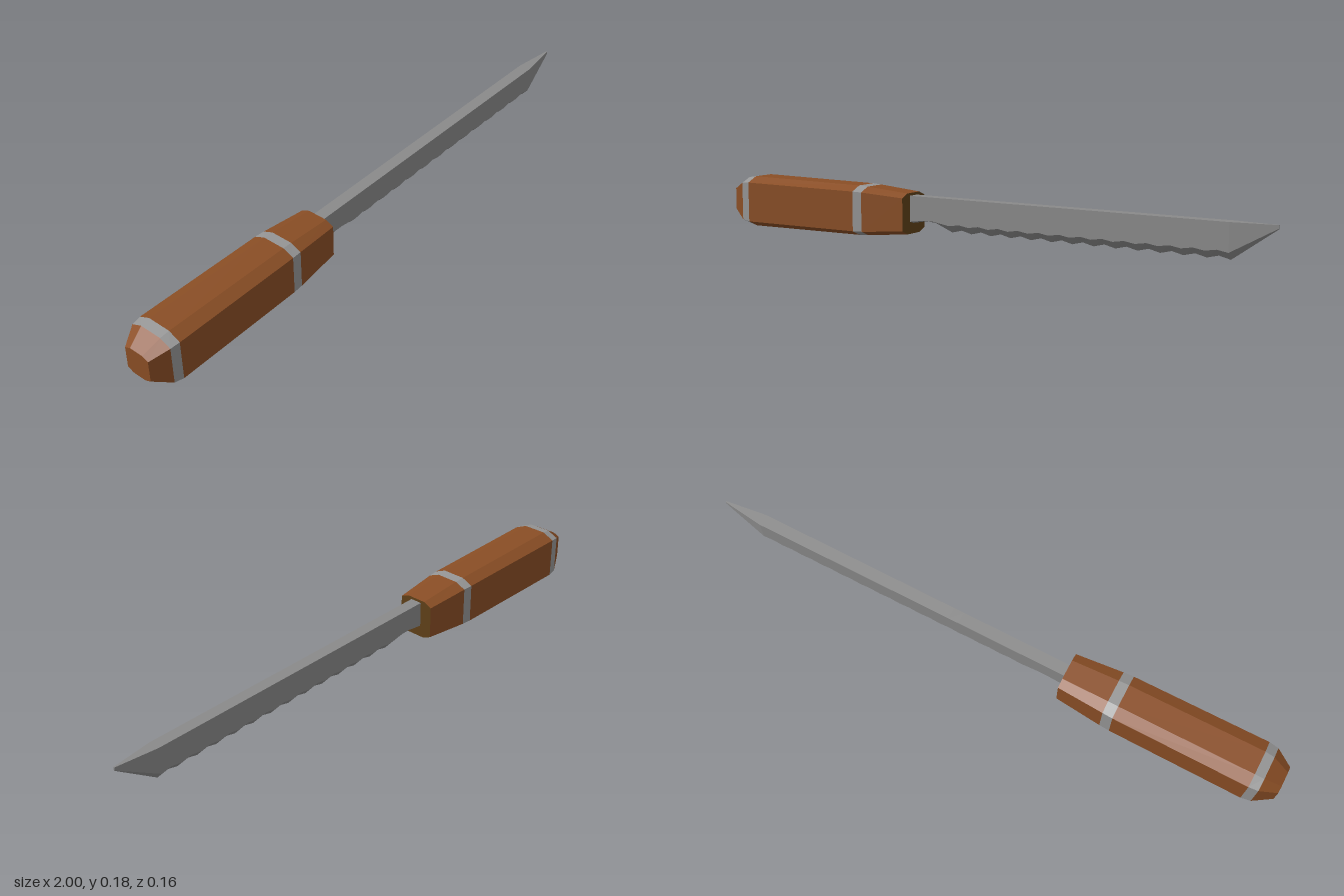
import * as THREE from 'three';

const wood = new THREE.MeshStandardMaterial({ name: 'brown wood', color: 0x8a4e25 });
const darkWood = new THREE.MeshStandardMaterial({ name: 'dark wood', color: 0x5f4018 });
const steel = new THREE.MeshStandardMaterial({ name: 'blade steel', color: 0x8a8a8a });
const bandMetal = new THREE.MeshStandardMaterial({ name: 'band metal', color: 0x969696 });

// Flat-faced skin through rings of [x, y, z] points that run from +y towards +z;
// the closing face at +x is group 1
function loft(name, rings, materials, capStart = true, capEnd = true) {
  const pos = [];
  const tri = (...corners) => corners.forEach((p) => pos.push(...p));
  const n = rings[0].length;
  for (let i = 0; i < rings.length - 1; i++) {
    for (let j = 0; j < n; j++) {
      const k = (j + 1) % n;
      const [a, b, c, d] = [rings[i][j], rings[i][k], rings[i + 1][j], rings[i + 1][k]];
      tri(a, b, c);
      tri(b, d, c);
    }
  }
  const first = rings[0], last = rings[rings.length - 1];
  if (capStart) for (let j = 1; j < n - 1; j++) tri(first[0], first[j + 1], first[j]);
  const sideCount = pos.length / 3;
  if (capEnd) for (let j = 1; j < n - 1; j++) tri(last[0], last[j], last[j + 1]);
  const geo = new THREE.BufferGeometry();
  geo.setAttribute('position', new THREE.Float32BufferAttribute(pos, 3));
  geo.computeVertexNormals();
  if (Array.isArray(materials)) {
    geo.addGroup(0, sideCount, 0);
    geo.addGroup(sideCount, pos.length / 3 - sideCount, 1);
  }
  const mesh = new THREE.Mesh(geo, materials);
  mesh.name = name;
  return mesh;
}

// Chamfered rectangle: half height, half width, flat half width, straight half height
function handleRing([x, cy, hy, hz, fz, sy]) {
  return [[hy, fz], [sy, hz], [-sy, hz], [-hy, fz], [-hy, -fz], [-sy, -hz], [sy, -hz], [hy, -fz]]
    .map(([y, z]) => [x, cy + y, z]);
}

// Five-sided blade section: spine, flat sides and a central cutting edge
function bladeRing(x, top, side, edge, hz) {
  return [[x, top, hz], [x, side, hz], [x, edge, 0], [x, side, -hz], [x, top, -hz]];
}

export function createModel() {
  const group = new THREE.Group();

  // Handle, pommel to ferrule
  const r = [
    [-1, 0.092, 0.047, 0.046, 0.024, 0.037],
    [-0.942, 0.09, 0.082, 0.076, 0.038, 0.065],
    [-0.91, 0.089, 0.088, 0.08, 0.04, 0.069],
    [-0.45, 0.089, 0.084, 0.077, 0.039, 0.067],
    [-0.415, 0.089, 0.082, 0.075, 0.038, 0.066],
    [-0.255, 0.09, 0.068, 0.063, 0.034, 0.055],
  ].map(handleRing);
  group.add(
    loft('pommel', [r[0], r[1]], wood, true, false),
    loft('rearBand', [r[1], r[2]], bandMetal, false, false),
    loft('grip', [r[2], r[3]], wood, false, false),
    loft('frontBand', [r[3], r[4]], bandMetal, false, false),
    loft('handleFront', [r[4], r[5]], [wood, darkWood], false, true),
  );

  // Blade: plain heel, serrated edge, then a tapered point
  const hz = 0.02, top = 0.149;
  const rings = [
    bladeRing(-0.258, top, 0.062, 0.056, hz),
    bladeRing(-0.2, top, 0.07, 0.066, hz),
    bladeRing(-0.165, top, 0.07, 0.063, hz),
  ];
  const teeth = 13, start = -0.1, pitch = 0.0738;
  for (let i = 0; i <= teeth; i++) {
    const x = start + i * pitch;
    rings.push(bladeRing(x, top, 0.06, 0.037, hz));
    if (i < teeth) rings.push(bladeRing(x + pitch * 0.5, top, 0.066, 0.046, hz));
  }
  rings.push(bladeRing(1, top, 0.139, 0.137, 0.002));
  group.add(loft('blade', rings, steel));

  return group;
}
